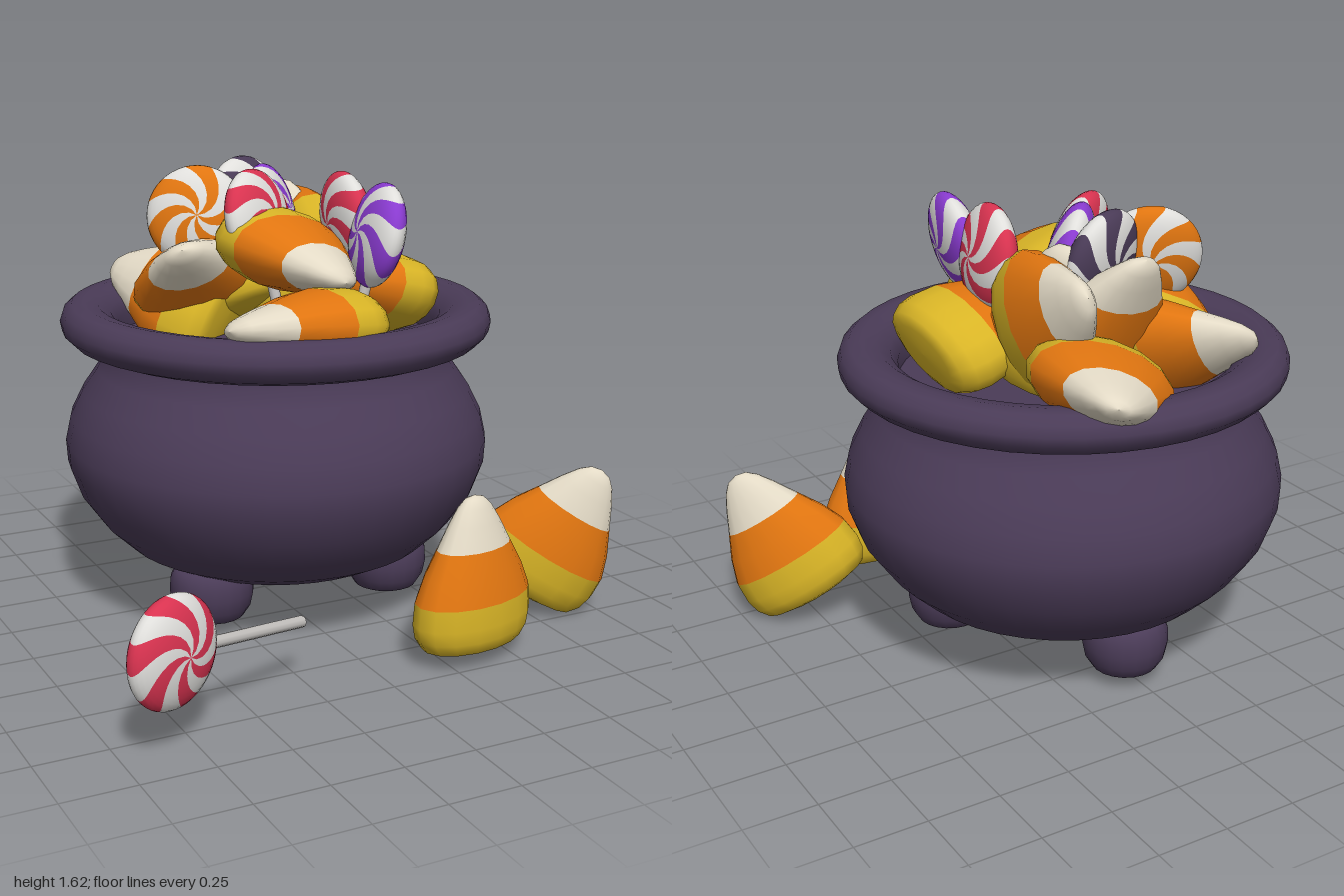
import * as THREE from 'three';

const mat = (name, color) => Object.assign(new THREE.MeshStandardMaterial({ color }), { name });
const M = {
  pot: mat('cauldron purple', 0x4a3b57),
  yellow: mat('corn yellow', 0xd8b426),
  orange: mat('candy orange', 0xe07510),
  cream: mat('corn cream', 0xe3dac6),
  white: mat('candy white', 0xe0dfdc),
  red: mat('candy red', 0xd93350),
  purple: mat('candy purple', 0x8a3bd1),
  stick: mat('stick grey', 0xc4c1be),
};
const V = (a) => new THREE.Vector3(...a);

function mesh(name, geometry, material) {
  const m = new THREE.Mesh(geometry, material);
  m.name = name;
  return m;
}

function lathe(points, segments) {
  return new THREE.LatheGeometry(points.map(([r, y]) => new THREE.Vector2(r, y)), segments);
}

// Orients a group so its local y follows `up` and its local z is close to `normal`.
function place(group, position, up, normal) {
  const z = normal.clone().normalize();
  const y = up.clone().addScaledVector(z, -up.dot(z)).normalize();
  const x = new THREE.Vector3().crossVectors(y, z);
  group.quaternion.setFromRotationMatrix(new THREE.Matrix4().makeBasis(x, y, z));
  group.position.copy(position);
  return group;
}

// Candy corn: three flattened lathe bands, base at the origin, tip up.
const cornBands = [
  ['cornBase', M.yellow, [[0, 0], [0.15, 0.002], [0.21, 0.018], [0.238, 0.06], [0.247, 0.11], [0.24, 0.185]]],
  ['cornMiddle', M.orange, [[0.24, 0.185], [0.205, 0.27], [0.153, 0.36]]],
  ['cornTip', M.cream, [[0.153, 0.36], [0.108, 0.44], [0.072, 0.495], [0.04, 0.525], [0, 0.536]]],
].map(([name, material, pts]) => [name, lathe(pts, 16).scale(1, 1, 0.57), material]);

function candyCorn(base, tip, width) {
  const g = new THREE.Group();
  g.name = 'candyCorn';
  cornBands.forEach((b) => g.add(mesh(...b)));
  const up = V(tip).sub(V(base)).normalize();
  const normal = new THREE.Vector3().crossVectors(V(width), up);
  return place(g, V(base), up, normal);
}

// Flattened ball whose twelve twisted sectors alternate between two materials.
function swirlGeometry(R = 0.183, H = 0.075, rings = 20, sectors = 12, sub = 4) {
  const n = sectors * sub, pos = [], groups = [[], []];
  for (let i = 0; i <= rings; i++) {
    const u = (i / rings) * Math.PI, r = Math.sin(u);
    for (let j = 0; j < n; j++) {
      const a = (j / n) * Math.PI * 2 + 1.3 * r;
      pos.push(R * r * Math.cos(a), R * r * Math.sin(a), H * Math.cos(u));
    }
  }
  for (let i = 0; i < rings; i++) {
    for (let j = 0; j < n; j++) {
      const k = (j + 1) % n, a = i * n + j, b = a + n, c = (i + 1) * n + k, d = i * n + k;
      groups[Math.floor(j / sub) % 2].push(a, b, c, a, c, d);
    }
  }
  const g = new THREE.BufferGeometry();
  g.setAttribute('position', new THREE.Float32BufferAttribute(pos, 3));
  g.setIndex([...groups[0], ...groups[1]]);
  g.addGroup(0, groups[0].length, 0);
  g.addGroup(groups[0].length, groups[1].length, 1);
  g.computeVertexNormals();
  return g;
}
const swirl = swirlGeometry();

function lollipop(colour, centre, normal, stickDir = [0, -1, 0], reach = 0.5) {
  const g = new THREE.Group();
  g.name = 'lollipop';
  g.add(mesh('swirlCandy', swirl, [colour, M.white]));
  const stick = mesh('stick', new THREE.CylinderGeometry(0.02, 0.02, reach - 0.15, 10), M.stick);
  stick.position.y = -(reach + 0.15) / 2;
  g.add(stick);
  return place(g, V(centre), V(stickDir).negate(), V(normal));
}

function cauldron() {
  const g = new THREE.Group();
  g.name = 'cauldron';
  const body = [[0, 0.19], [0.3, 0.19], [0.46, 0.21], [0.56, 0.26], [0.65, 0.345], [0.725, 0.45],
    [0.765, 0.56], [0.77, 0.64], [0.75, 0.73], [0.705, 0.82], [0.65, 0.9], [0.62, 0.955], [0.62, 1.0]];
  const rim = [[0.62, 0.985], [0.68, 0.99], [0.735, 1.01], [0.77, 1.045], [0.777, 1.08], [0.765, 1.115],
    [0.735, 1.14], [0.69, 1.145], [0.64, 1.135], [0.595, 1.105], [0.57, 1.06], [0.57, 1.0]];
  g.add(mesh('cauldronBody', lathe(body, 40), M.pot));
  g.add(mesh('cauldronRim', lathe(rim, 40), M.pot));
  const floor = mesh('cauldronInside', new THREE.CircleGeometry(0.58, 40), M.pot);
  floor.rotation.x = -Math.PI / 2;
  floor.position.y = 1.0;
  g.add(floor);
  // Three stubby feet, one at the back
  const foot = lathe([[0, 0.045], [0.08, 0.045], [0.115, 0.06], [0.14, 0.1], [0.15, 0.15], [0.148, 0.2], [0.13, 0.24], [0, 0.3]], 20);
  for (let i = 0; i < 3; i++) {
    const a = Math.PI + (i * Math.PI * 2) / 3;
    const m = mesh('foot', foot, M.pot);
    m.position.set(0.41 * Math.sin(a), 0, 0.41 * Math.cos(a));
    g.add(m);
  }
  g.position.set(0.02, 0, -0.19);
  return g;
}

export function createModel() {
  const model = new THREE.Group();
  model.name = 'candyCauldron';
  model.add(cauldron());

  // Candy corn: base, tip, direction of the wide side
  const corns = [
    // on the ground
    [[0.365, 0.05, 0.64], [0.365, 0.59, 0.635], [0.96, 0, -0.22]],
    [[0.745, 0.1, 0.36], [0.95, 0.51, 0.51], [0.28, -0.2, 0.16]],
    // in the cauldron
    [[0.11, 1.12, -0.53], [0.31, 1.2, -0.95], [0.8, 0.3, 0.4]],
    [[-0.12, 1.08, -0.28], [-0.39, 1.2, -0.69], [0.6, 0.7, -0.2]],
    [[-0.13, 1.12, -0.5], [-0.36, 1.34, -0.13], [0.8, 0.3, 0.4]],
    [[0.18, 1.2, -0.22], [0.24, 1.44, -0.67], [0.1, 0.85, 0.5]],
    [[0.5, 1.12, -0.07], [0.05, 1.25, -0.04], [0, 0.3, 1]],
    [[0.1, 1.11, 0.24], [-0.38, 1.17, 0.36], [0.3, 0.2, 0.9]],
    [[-0.03, 1.36, -0.2], [0.03, 1.29, 0.29], [0.95, -0.25, 0]],
    [[0.02, 1.1, -0.28], [-0.02, 1.5, -0.61], [1, 0.1, 0]],
    [[0.14, 1.02, -0.27], [0.15, 1.54, -0.42], [0.5, 0, 0.8]],
  ];
  corns.forEach((c) => model.add(candyCorn(...c)));

  // Lollipop on the ground, then those standing in the cauldron
  model.add(lollipop(M.red, [-0.83, 0.335, 0.855], [0.42, 0.02, 0.9], [0.56, -0.105, -0.26], 0.63));
  const pops = [
    [M.orange, [-0.21, 1.43, -0.36], [-0.4, 0.2, 0.87]],
    [M.pot, [0.0, 1.45, -0.39], [0.35, 0.2, 0.87]],
    [M.purple, [0.03, 1.44, -0.24], [0.75, 0.25, 0.6]],
    [M.red, [-0.08, 1.44, -0.12], [0.55, 0.25, 0.8]],
    [M.red, [0.24, 1.42, -0.06], [0.98, 0.1, 0.1]],
    [M.purple, [0.23, 1.41, 0.18], [0.95, -0.22, 0.15]],
  ];
  pops.forEach((p) => model.add(lollipop(...p)));
  return model;
}
